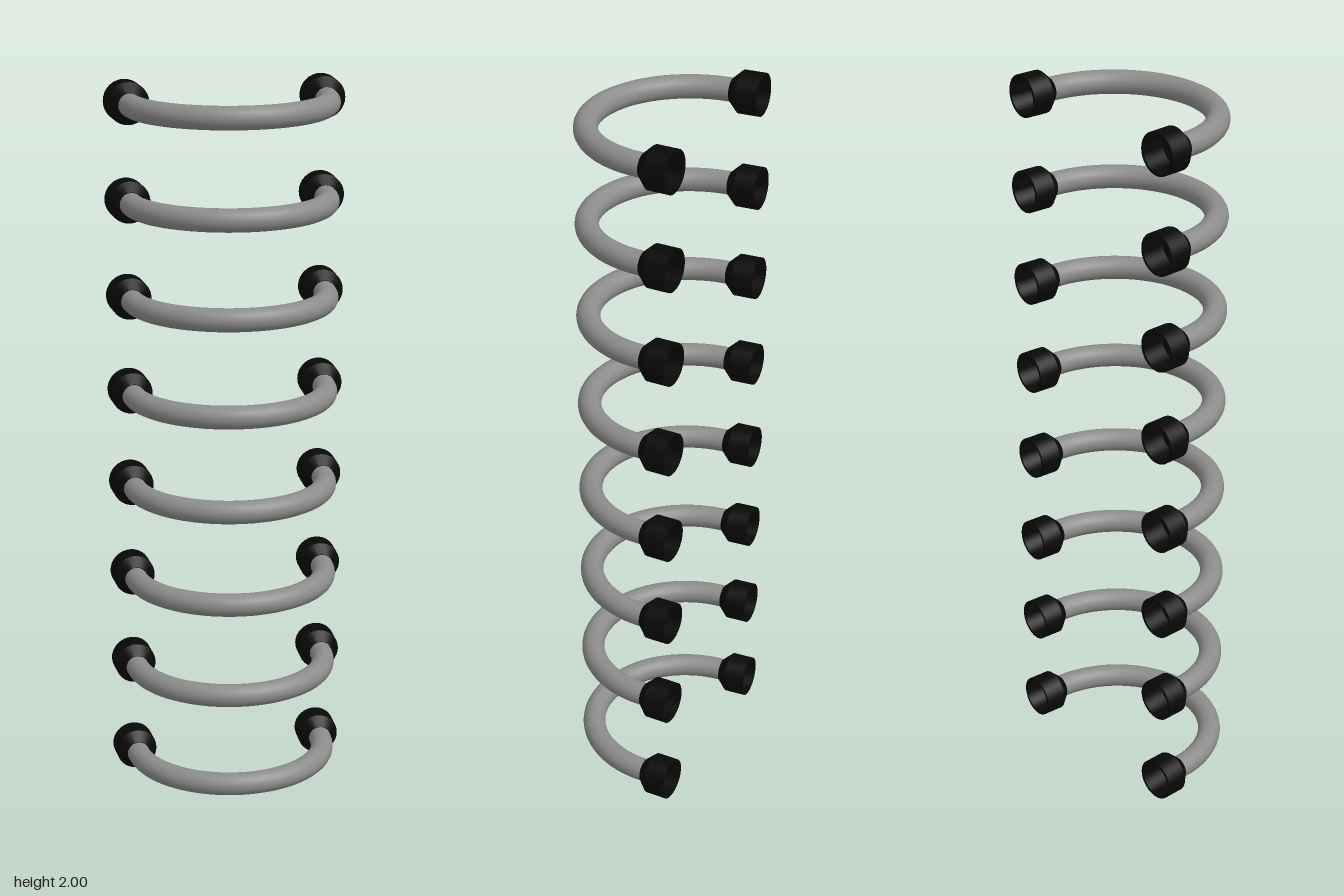
import * as THREE from 'three';
import { toCreasedNormals } from 'three/addons/utils/BufferGeometryUtils.js';

const COUNT = 8, FIRST_Y = 0.058, SPACING = 0.269;
const ARC_R = 0.27, ARC_Z = -0.11, TUBE_R = 0.032;
const FLARE = 0.044; // ends stop just short of a half circle
const STUB = 0.022;  // straight tube inside each cap

// Bent handle: an arc with short straight ends
function makeBarGeometry() {
  const pts = [];
  const end = Math.PI / 2 - FLARE;
  const at = (a) => new THREE.Vector3(Math.sin(a) * ARC_R, 0, ARC_Z + Math.cos(a) * ARC_R);
  const tip = (s) => at(s * end).add(new THREE.Vector3(s * Math.sin(FLARE) * STUB, 0, -STUB));
  pts.push(tip(-1));
  for (let i = 0; i <= 24; i++) pts.push(at(-end + (2 * end * i) / 24));
  pts.push(tip(1));
  return new THREE.TubeGeometry(new THREE.CatmullRomCurve3(pts), 72, TUBE_R, 20);
}

// Hollow end cap: neck, tapered shoulder, straight wall, rim and bore
function makeCapGeometry() {
  const profile = [
    [0.046, 0.024], [0.05, 0.024], [0.05, -0.042], [0.058, -0.042],
    [0.058, 0.018], [0.033, 0.045], [0.03, 0.045], [0.03, 0.024], [0.046, 0.024],
  ].map(([r, y]) => new THREE.Vector2(r, y));
  const geo = toCreasedNormals(new THREE.LatheGeometry(profile, 32), 0.5);
  return geo.rotateX(Math.PI / 2);
}

export function createModel() {
  const model = new THREE.Group();
  model.name = 'handleRungs';
  const barMat = new THREE.MeshStandardMaterial({ color: 0x8c8c8c });
  const capMat = new THREE.MeshStandardMaterial({ color: 0x080808, side: THREE.DoubleSide });
  const barGeo = makeBarGeometry();
  const capGeo = makeCapGeometry();
  const discGeo = new THREE.CircleGeometry(TUBE_R, 20).rotateY(Math.PI);

  for (let i = 0; i < COUNT; i++) {
    const rung = new THREE.Group();
    rung.name = `rung${i + 1}`;
    rung.position.y = FIRST_Y + i * SPACING;

    const bar = new THREE.Mesh(barGeo, barMat);
    bar.name = 'bar';
    rung.add(bar);

    for (const side of [-1, 1]) {
      // Cap follows the slight outward slant of the bar end
      const cap = new THREE.Mesh(capGeo, capMat);
      cap.name = side > 0 ? 'leftCap' : 'rightCap';
      cap.position.set(side * 0.271, 0, -0.15);
      cap.rotation.y = -side * FLARE;
      rung.add(cap);

      // Closed end of the bar, recessed in the cap
      const disc = new THREE.Mesh(discGeo, barMat);
      disc.name = side > 0 ? 'leftBarEnd' : 'rightBarEnd';
      const a = Math.PI / 2 - FLARE;
      disc.position.set(side * (Math.sin(a) * ARC_R + Math.sin(FLARE) * STUB), 0, ARC_Z + Math.cos(a) * ARC_R - STUB);
      disc.rotation.y = -side * FLARE;
      rung.add(disc);
    }
    model.add(rung);
  }
  return model;
}
